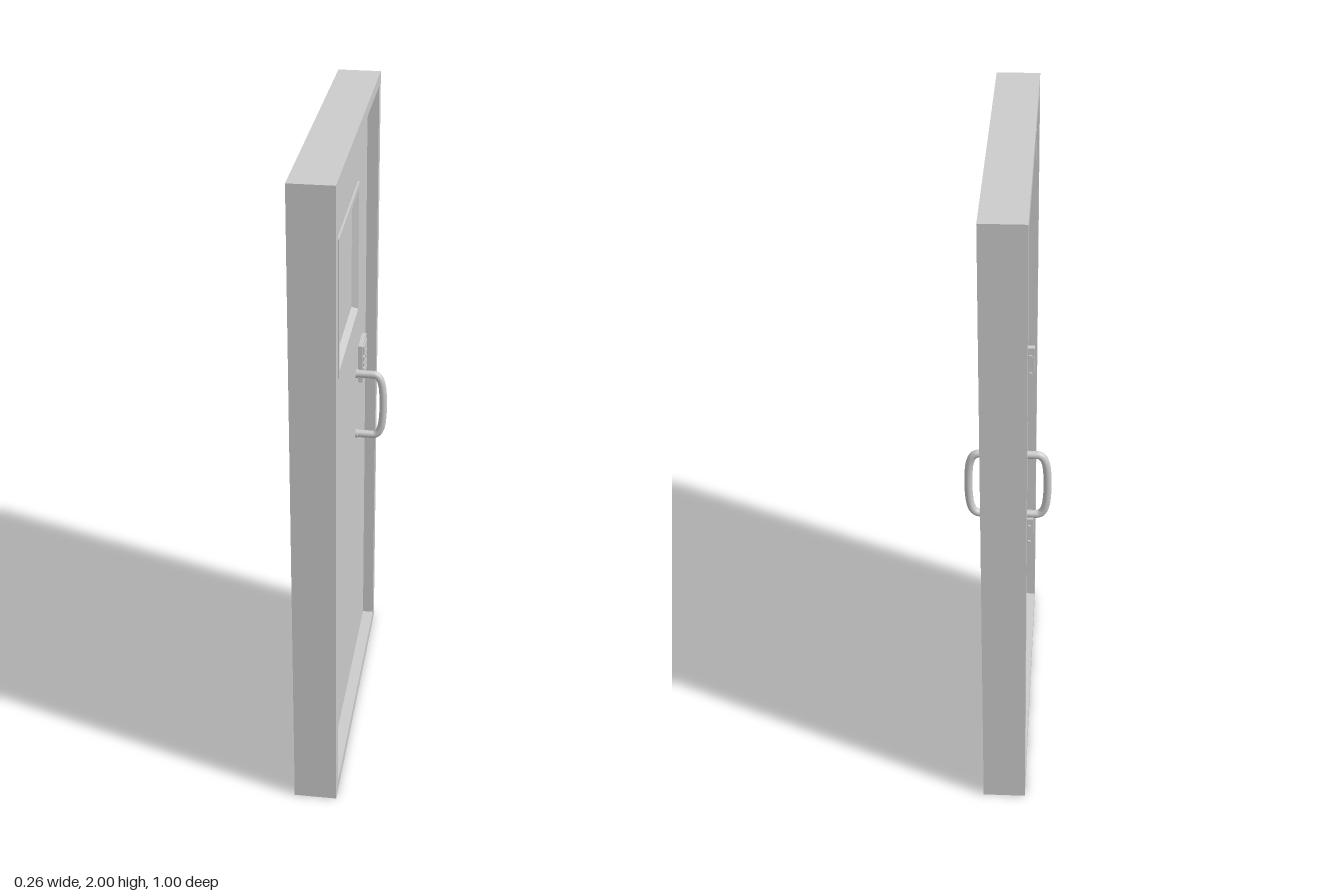
import * as THREE from 'three';

const grey = new THREE.MeshStandardMaterial({ color: 0xcccccc });
const flat = new THREE.MeshStandardMaterial({ color: 0xcccccc, flatShading: true });

const FRAME_X = 0.065; // half thickness of the frame
const DOOR_X = 0.03;   // half thickness of the door leaf
const PANE_X = 0.016;  // half thickness of the window pane
const WINDOW = { y0: 1.32, y1: 1.745, z: 0.231 };

function add(parent, name, geometry, x = 0, y = 0, z = 0, material = grey) {
  const mesh = new THREE.Mesh(geometry, material);
  mesh.name = name;
  mesh.position.set(x, y, z);
  parent.add(mesh);
  return mesh;
}

function rect(path, z0, y0, z1, y1) {
  path.moveTo(z0, y0);
  path.lineTo(z1, y0);
  path.lineTo(z1, y1);
  path.lineTo(z0, y1);
  path.closePath();
  return path;
}

// Upright slab with a rectangular opening, extruded along x
function slabWithHole(outer, hole, halfX) {
  const shape = rect(new THREE.Shape(), ...outer);
  shape.holes.push(rect(new THREE.Path(), ...hole));
  const geometry = new THREE.ExtrudeGeometry(shape, { depth: 2 * halfX, bevelEnabled: false });
  return geometry.translate(0, 0, -halfX).rotateY(Math.PI / 2);
}

// Mitred rectangular trim: profile points are [inset, x]; s = +1 or -1 is the door side
function trimRing({ y0, y1, z }, profile, s) {
  const pos = [], idx = [], n = profile.length;
  for (let c = 0; c < 4; c++) {
    const cz = c === 0 || c === 3 ? -1 : 1, cy = c < 2 ? 0 : 1;
    for (const [inset, x] of profile)
      pos.push(s * x, cy ? y1 - inset : y0 + inset, cz * (z - inset));
  }
  for (let c = 0; c < 4; c++)
    for (let i = 0; i < n - 1; i++) {
      const a = c * n + i, b = ((c + 1) % 4) * n + i;
      if (s > 0) idx.push(a, a + 1, b, b, a + 1, b + 1);
      else idx.push(a, b, a + 1, b, b + 1, a + 1);
    }
  const geometry = new THREE.BufferGeometry();
  geometry.setAttribute('position', new THREE.Float32BufferAttribute(pos, 3));
  geometry.setIndex(idx);
  const split = geometry.toNonIndexed();
  split.computeVertexNormals();
  return split;
}

// Pull handle: a rounded bow with a small collar at each foot
function makeHandle(s) {
  const handle = new THREE.Group();
  handle.name = 'handle';
  const v = (x, y) => new THREE.Vector3(s * x, y, 0);
  const top = 0.107, bow = 0.118;
  const path = new THREE.CurvePath();
  path.add(new THREE.LineCurve3(v(DOOR_X - 0.005, top), v(0.085, top)));
  path.add(new THREE.QuadraticBezierCurve3(v(0.085, top), v(0.11, top), v(0.115, 0.055)));
  path.add(new THREE.QuadraticBezierCurve3(v(0.115, 0.055), v(bow + 0.002, 0), v(0.115, -0.055)));
  path.add(new THREE.QuadraticBezierCurve3(v(0.115, -0.055), v(0.11, -top), v(0.085, -top)));
  path.add(new THREE.LineCurve3(v(0.085, -top), v(DOOR_X - 0.005, -top)));
  add(handle, 'handleBow', new THREE.TubeGeometry(path, 64, 0.012, 16, false));
  for (const y of [top, -top])
    add(handle, 'handleCollar', new THREE.CylinderGeometry(0.0145, 0.0145, 0.008, 20).rotateZ(Math.PI / 2),
      s * (DOOR_X + 0.004), y, 0);
  handle.position.set(0, 1.005, -0.2165);
  return handle;
}

// Keypad: plate, display and a grid of keys
function makeKeypad(s) {
  const keypad = new THREE.Group();
  keypad.name = 'keypad';
  add(keypad, 'keypadPlate', new THREE.BoxGeometry(0.016, 0.126, 0.102), s * 0.006);
  add(keypad, 'keypadDisplay', new THREE.BoxGeometry(0.006, 0.024, 0.07), s * 0.015, 0.041);
  for (let row = 0; row < 4; row++)
    for (let col = -1; col <= 1; col++)
      add(keypad, 'key', new THREE.BoxGeometry(0.006, 0.013, 0.021),
        s * 0.015, 0.012 - row * 0.019, col * 0.027);
  keypad.position.set(s * DOOR_X, 1.12, -0.316);
  return keypad;
}

// Hinge: block against the jamb with two screws
function makeHinge(s, y) {
  const hinge = new THREE.Group();
  hinge.name = 'hinge';
  add(hinge, 'hingePlate', new THREE.BoxGeometry(0.03, 0.13, 0.02));
  for (const dy of [-0.033, 0.033])
    add(hinge, 'hingeScrew', new THREE.CylinderGeometry(0.007, 0.008, 0.004, 14).rotateX(-Math.PI / 2),
      0, dy, -0.0115);
  hinge.position.set(s * (DOOR_X + 0.013), y, 0.45);
  return hinge;
}

export function createModel() {
  const model = new THREE.Group();
  model.name = 'securityDoor';

  // Frame, door leaf and window pane
  const opening = [-0.46, 0.037, 0.46, 1.966];
  add(model, 'doorFrame', slabWithHole([-0.5, 0, 0.5, 2], opening, FRAME_X));
  const { y0, y1, z } = WINDOW;
  add(model, 'doorLeaf', slabWithHole(opening, [-z + 0.01, y0 + 0.01, z - 0.01, y1 - 0.01], DOOR_X));
  add(model, 'windowPane', new THREE.BoxGeometry(2 * PANE_X, y1 - y0 - 0.022, 2 * z - 0.022), 0, (y0 + y1) / 2, 0);

  // Fittings repeated on both faces
  const profile = [[0, DOOR_X - 0.002], [0, 0.036], [0.018, 0.036], [0.028, PANE_X - 0.001]];
  for (const s of [1, -1]) {
    const side = new THREE.Group();
    side.name = s > 0 ? 'leftFittings' : 'rightFittings';
    add(side, 'windowTrim', trimRing(WINDOW, profile, s), 0, 0, 0, flat);
    side.add(makeHandle(s), makeKeypad(s));
    for (const y of [0.32, 1.015, 1.775]) side.add(makeHinge(s, y));
    model.add(side);
  }
  return model;
}
